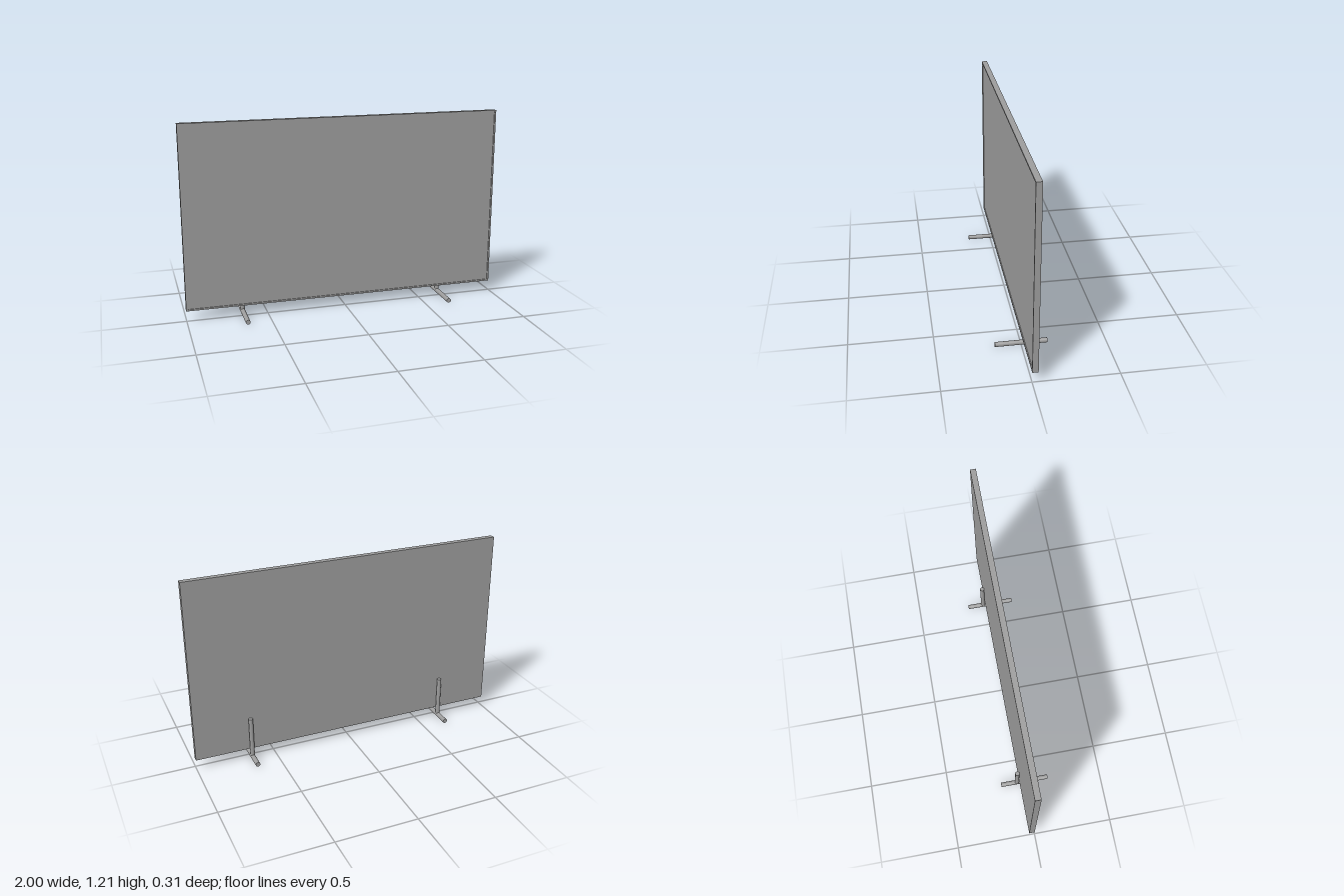
import * as THREE from 'three';

const material = new THREE.MeshStandardMaterial({ color: 0x9c9c9c });

const WIDTH = 2, BOTTOM = 0.063, TOP = 1.207, DEPTH = 0.035, FRONT_Z = -0.001;
const BEZEL = 0.01, RECESS = 0.006;
const HEIGHT = TOP - BOTTOM, MID_Y = (TOP + BOTTOM) / 2, BACK_Z = FRONT_Z - DEPTH;

function part(name, geometry, x, y, z) {
  const mesh = new THREE.Mesh(geometry, material);
  mesh.name = name;
  mesh.position.set(x, y, z);
  return mesh;
}

function rectangle(target, w, h) {
  target.moveTo(-w / 2, -h / 2);
  target.lineTo(w / 2, -h / 2);
  target.lineTo(w / 2, h / 2);
  target.lineTo(-w / 2, h / 2);
  target.closePath();
  return target;
}

// Thin border that stands proud of the screen
function createBezel() {
  const outline = rectangle(new THREE.Shape(), WIDTH, HEIGHT);
  outline.holes.push(rectangle(new THREE.Path(), WIDTH - 2 * BEZEL, HEIGHT - 2 * BEZEL));
  const geometry = new THREE.ExtrudeGeometry(outline, { depth: DEPTH, bevelEnabled: false });
  return part('bezel', geometry, 0, MID_Y, BACK_Z);
}

// Round upright behind the panel on a round bar that runs front to back
function createStand(side) {
  const stand = new THREE.Group();
  stand.name = side > 0 ? 'leftStand' : 'rightStand';
  stand.position.x = side * 0.65;

  const foot = new THREE.CylinderGeometry(0.0145, 0.0145, 0.31, 24).rotateX(Math.PI / 2);
  const post = new THREE.CylinderGeometry(0.0135, 0.0135, 0.26, 24);
  stand.add(part('foot', foot, 0, 0.0145, 0), part('post', post, 0, 0.148, -0.05));
  return stand;
}

export function createModel() {
  const model = new THREE.Group();
  model.name = 'television';

  // Screen and back cover fill the inside of the border
  const screenDepth = DEPTH - RECESS;
  const screen = new THREE.BoxGeometry(WIDTH - 2 * BEZEL, HEIGHT - 2 * BEZEL, screenDepth);
  model.add(createBezel(), part('screen', screen, 0, MID_Y, BACK_Z + screenDepth / 2));

  for (const side of [-1, 1]) model.add(createStand(side));
  return model;
}
